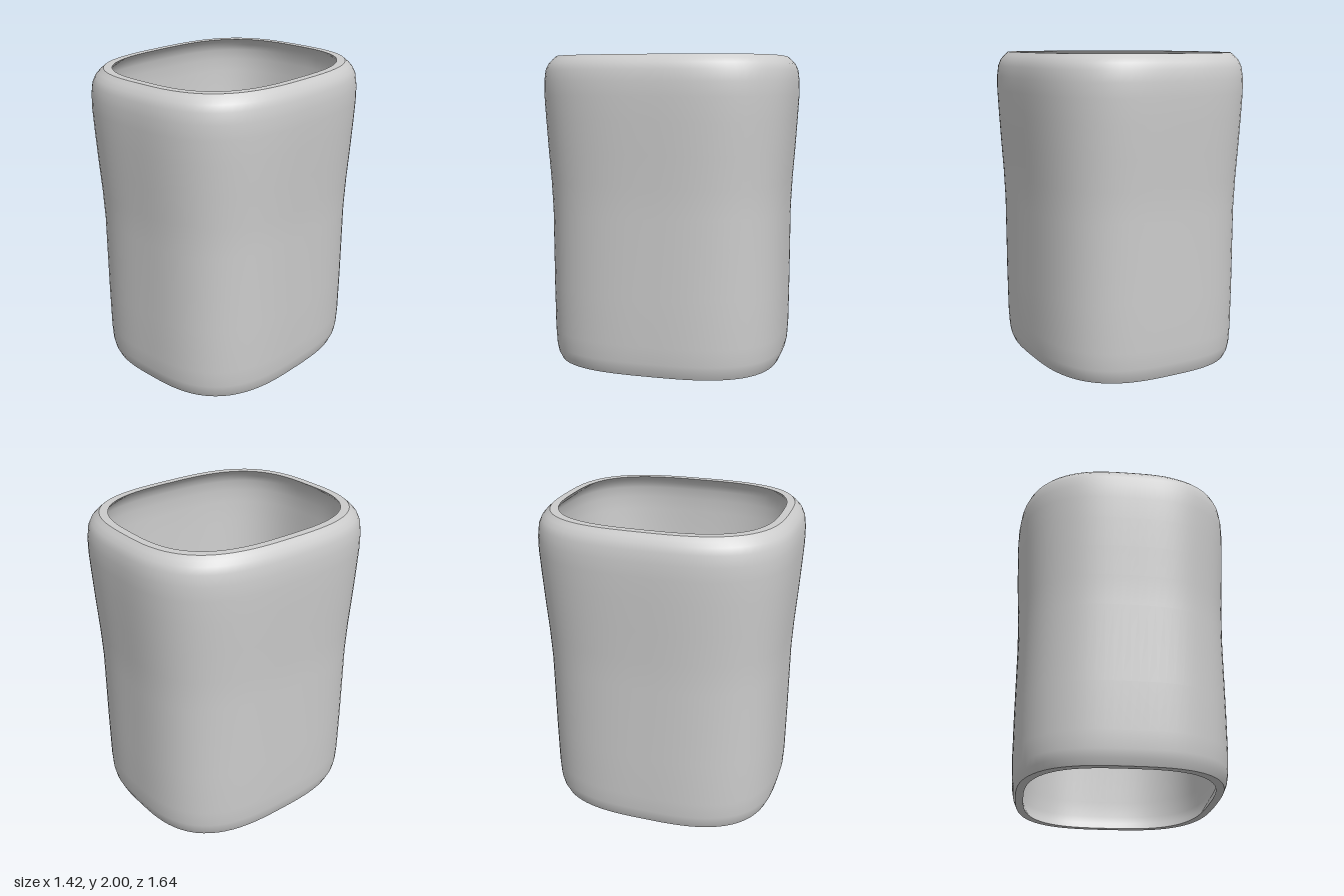
import * as THREE from 'three';

const SEGMENTS = 96;
const EXPONENT = 2.95; // roundness of the squarish cross-section
const WALL = 0.049; // wall thickness

// Surface through stacked rounded-rectangle rings; each ring is [halfWidth, halfDepth, y]
function ringSurface(rings) {
  const positions = [];
  const index = [];
  for (const [a, b, y] of rings) {
    for (let i = 0; i < SEGMENTS; i++) {
      const t = (i / SEGMENTS) * Math.PI * 2;
      const c = Math.cos(t), s = Math.sin(t);
      const r = (Math.abs(c / a) ** EXPONENT + Math.abs(s / b) ** EXPONENT) ** (-1 / EXPONENT);
      positions.push(r * c, y, r * s);
    }
  }
  for (let j = 0; j < rings.length - 1; j++) {
    for (let i = 0; i < SEGMENTS; i++) {
      const k = (i + 1) % SEGMENTS;
      const a = j * SEGMENTS + i, b = j * SEGMENTS + k;
      const c = a + SEGMENTS, d = b + SEGMENTS;
      index.push(a, c, b, b, c, d);
    }
  }
  const geometry = new THREE.BufferGeometry();
  geometry.setAttribute('position', new THREE.Float32BufferAttribute(positions, 3));
  geometry.setIndex(index);
  geometry.computeVertexNormals();
  return geometry;
}

export function createModel() {
  const group = new THREE.Group();
  group.name = 'openSleeve';
  const grey = new THREE.MeshStandardMaterial({ color: 0xcccccc });
  grey.name = 'light grey';

  // Outer wall: rounded lower edge, straight lower half, flared and rounded top
  const outer = [
    [0.64, 0.74, 0], [0.657, 0.758, 0.04], [0.666, 0.769, 0.09], [0.672, 0.775, 0.2],
    [0.675, 0.777, 0.5], [0.675, 0.777, 1], [0.682, 0.786, 1.2], [0.693, 0.8, 1.4],
    [0.703, 0.812, 1.6], [0.709, 0.82, 1.75], [0.708, 0.819, 1.84], [0.699, 0.81, 1.91],
    [0.683, 0.792, 1.95], [0.662, 0.768, 1.977], [0.638, 0.742, 2],
  ];
  // Inner wall follows the outer one, so it curls in at both openings
  const inner = outer.map(([a, b, y]) => [a - WALL, b - WALL, y]).reverse();

  const parts = {
    outerWall: outer,
    topRim: [outer.at(-1), inner[0]],
    innerWall: inner,
    bottomRim: [inner.at(-1), outer[0]],
  };
  for (const [name, rings] of Object.entries(parts)) {
    const mesh = new THREE.Mesh(ringSurface(rings), grey);
    mesh.name = name;
    group.add(mesh);
  }
  return group;
}
